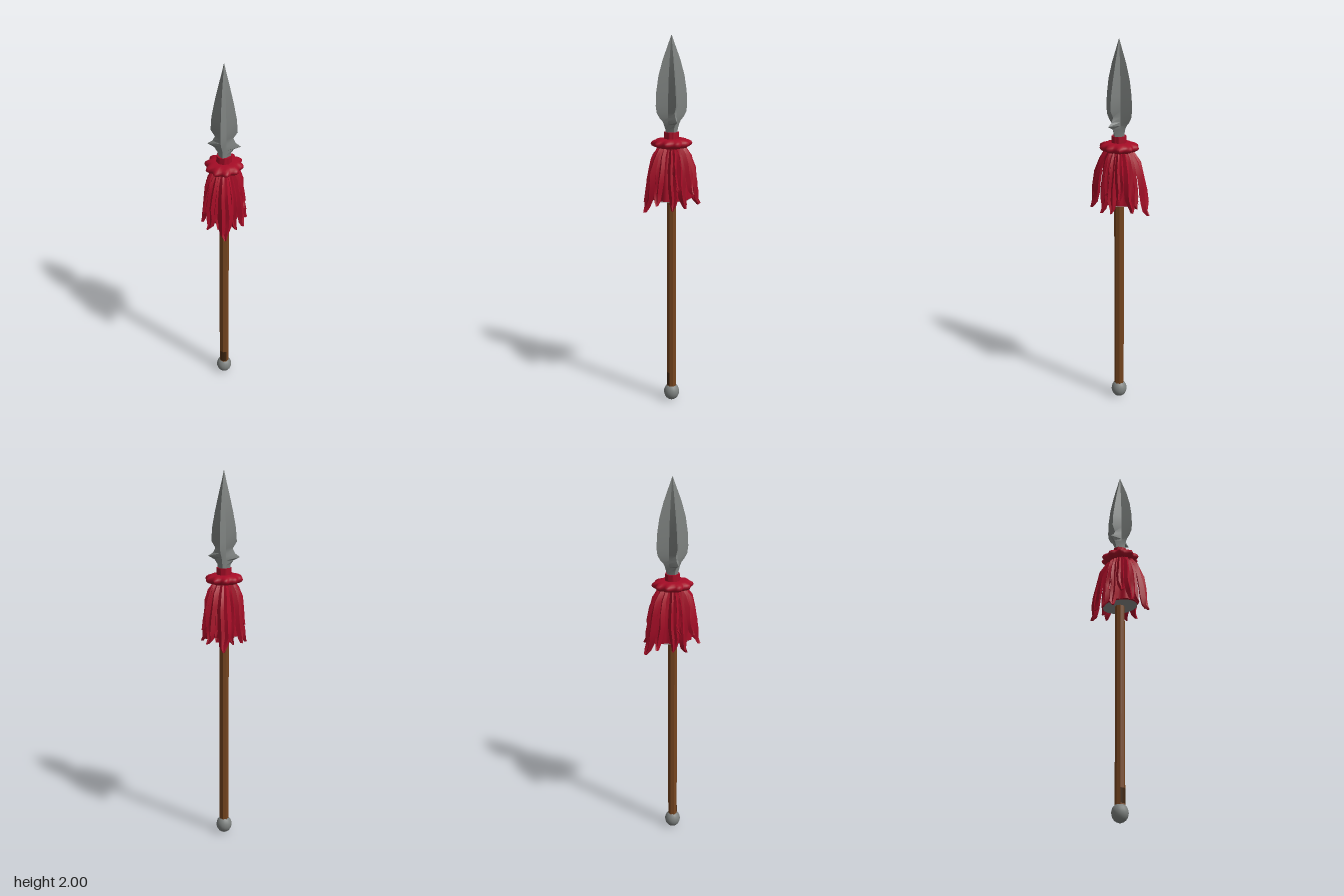
import * as THREE from 'three';
import { toCreasedNormals } from 'three/addons/utils/BufferGeometryUtils.js';

const mat = (name, color, side = THREE.FrontSide) => {
  const m = new THREE.MeshStandardMaterial({ color, side });
  m.name = name;
  return m;
};

// Closed skin over rings of points, listed bottom to top
function loft(rings, crease = 0.7) {
  const n = rings[0].length, pos = [], idx = [];
  rings.forEach(r => r.forEach(p => pos.push(...p)));
  for (let i = 0; i < rings.length - 1; i++) {
    for (let j = 0; j < n; j++) {
      const a = i * n + j, b = i * n + (j + 1) % n, c = a + n, d = b + n;
      idx.push(a, c, b, b, c, d);
    }
  }
  [0, rings.length - 1].forEach((k, top) => {
    const mid = [0, 1, 2].map(q => rings[k].reduce((s, p) => s + p[q], 0) / n);
    const m = pos.length / 3;
    pos.push(...mid);
    for (let j = 0; j < n; j++) {
      const a = k * n + j, b = k * n + (j + 1) % n;
      idx.push(m, top ? b : a, top ? a : b);
    }
  });
  const g = new THREE.BufferGeometry();
  g.setAttribute('position', new THREE.Float32BufferAttribute(pos, 3));
  g.setIndex(idx);
  return toCreasedNormals(g, crease);
}

// Four-pointed star section of the blade
function star(y, x, z, core) {
  const a = 0.016 * core, b = 0.024 * core;
  return [[x, y, 0], [a, y, b], [0, y, z], [-a, y, b],
    [-x, y, 0], [-a, y, -b], [0, y, -z], [a, y, -b]];
}

// Fluted oval section for the cloth
function fluted(y, rx, rz, depth, count, phase = 0) {
  return Array.from({ length: 48 }, (_, i) => {
    const t = i / 48 * Math.PI * 2, k = 1 + depth * Math.cos(count * t + phase);
    return [rx * k * Math.cos(t), y, rz * k * Math.sin(t)];
  });
}

// One hanging strip of cloth, ending at the point (x, y, z)
function strand(x, y, z, width, seed) {
  const len = Math.hypot(x, z), ux = x / len, uz = z / len;
  // height fraction, radius fraction, width fraction
  const rows = [[0, 1.06, 0.2], [0.07, 0.97, 0.6], [0.2, 0.92, 0.95], [0.38, 0.88, 1],
    [0.6, 0.8, 0.92], [0.8, 0.66, 0.75], [0.92, 0.48, 0.55], [1, 0.3, 0.4]];
  return loft(rows.map(([h, r, wf], i) => {
    const w = width * wf, sway = 0.006 * Math.sin(seed * 2.3 + i * 1.7) * (1 - h);
    const fold = 0.004 * Math.sin(seed + i * 2.1), thin = 0.5 + wf * 0.5;
    const section = [[-0.01, -w], [0.011 + fold, -w * 0.5], [0.003, 0],
      [0.011 - fold, w * 0.5], [-0.01, w], [-0.014, 0]];
    return section.map(([o, t]) => {
      const R = len * r + o * thin, T = t + sway;
      return [ux * R - uz * T, y + (1.46 - y) * h, uz * R + ux * T];
    });
  }), 0.6);
}

export function createModel() {
  const model = new THREE.Group();
  const steel = mat('steel', 0x7f8381);
  const cloth = mat('red cloth', 0xa50c26);
  const wood = mat('wood', 0x75451f);
  const darkWood = mat('dark wood', 0x3f2611);
  const lining = mat('grey lining', 0x8c8c8a, THREE.DoubleSide);
  const add = (name, geo, material, parent = model) => {
    const mesh = new THREE.Mesh(geo, material);
    mesh.name = name;
    parent.add(mesh);
    return mesh;
  };

  // Shaft with a worn dark patch near the foot
  add('shaft', toCreasedNormals(new THREE.CylinderGeometry(0.026, 0.026, 1.42, 8), 0.6), wood)
    .position.y = 0.79;
  add('darkPatch', new THREE.CylinderGeometry(0.0268, 0.0268, 0.075, 2, 1, true,
    -Math.PI / 4, Math.PI / 2), darkWood).position.y = 0.13;

  // Round pommel
  const pommel = add('pommel', new THREE.SphereGeometry(0.043, 16, 12), steel);
  pommel.scale.y = 1.12;
  pommel.position.y = 0.048;

  // Blade: y, half width in x, half width in z, core thickness
  const blade = [[1.48, 0.033, 0.032, 1], [1.53, 0.034, 0.034, 1], [1.555, 0.05, 0.042, 1],
    [1.572, 0.084, 0.05, 1], [1.59, 0.058, 0.066, 1], [1.615, 0.046, 0.08, 1],
    [1.65, 0.067, 0.085, 1.05], [1.72, 0.062, 0.082, 0.95], [1.8, 0.047, 0.07, 0.8],
    [1.88, 0.029, 0.047, 0.55], [1.95, 0.012, 0.02, 0.28], [2, 0.001, 0.001, 0.03]];
  add('blade', loft(blade.map(b => star(...b)), 0.5), steel);

  // Cloth tassel
  const tassel = new THREE.Group();
  tassel.name = 'tassel';
  model.add(tassel);
  add('collar', loft([fluted(1.43, 0.04, 0.04, 0.04, 9), fluted(1.48, 0.038, 0.038, 0.04, 9),
    fluted(1.515, 0.037, 0.037, 0.05, 9)]), cloth, tassel);

  // Gathered ruffle around the collar
  const ruffle = [];
  for (let i = 0; i <= 8; i++) {
    const a = -Math.PI / 2 + i / 8 * Math.PI, r = 0.048 + 0.043 * Math.cos(a);
    ruffle.push(fluted(1.457 + 0.024 * Math.sin(a), r, r * 1.09, 0.08 * Math.cos(a) + 0.02, 10, 0.4));
  }
  add('ruffle', loft(ruffle, 1.2), cloth, tassel);

  // Inner skirt, with a grey underside
  const skirt = [[1.165, 0.082, 0.105], [1.24, 0.08, 0.102], [1.32, 0.072, 0.09],
    [1.39, 0.055, 0.068], [1.45, 0.038, 0.038]];
  add('skirt', loft(skirt.map(([y, x, z]) => fluted(y, x, z, 0.06, 11)), 1), cloth, tassel);
  const under = add('skirtLining', new THREE.CircleGeometry(1, 32), lining, tassel);
  under.rotation.x = Math.PI / 2;
  under.scale.set(0.078, 0.1, 1);
  under.position.y = 1.16;

  // Hanging strips: tip x, y, z and half width
  const strips = [
    [0.036, 1.11, 0.152, 0.036], [-0.055, 1.14, 0.12, 0.03], [0.075, 1.15, 0.108, 0.026],
    [-0.04, 1.11, -0.155, 0.036], [0.05, 1.14, -0.128, 0.03], [-0.07, 1.14, -0.11, 0.026],
    [0.1, 1.12, 0.025, 0.027], [0.103, 1.13, -0.032, 0.027], [-0.103, 1.12, 0.03, 0.027],
    [-0.1, 1.13, -0.03, 0.027], [-0.008, 1.15, 0.118, 0.028], [0.005, 1.15, -0.118, 0.028],
    [0.096, 1.22, 0.0, 0.026], [-0.096, 1.22, 0.0, 0.026],
    [0.086, 1.2, -0.08, 0.026], [-0.086, 1.2, 0.075, 0.026]];
  strips.forEach(([x, y, z, w], i) => add('strip' + (i + 1), strand(x, y, z, w, i), cloth, tassel));

  return model;
}
